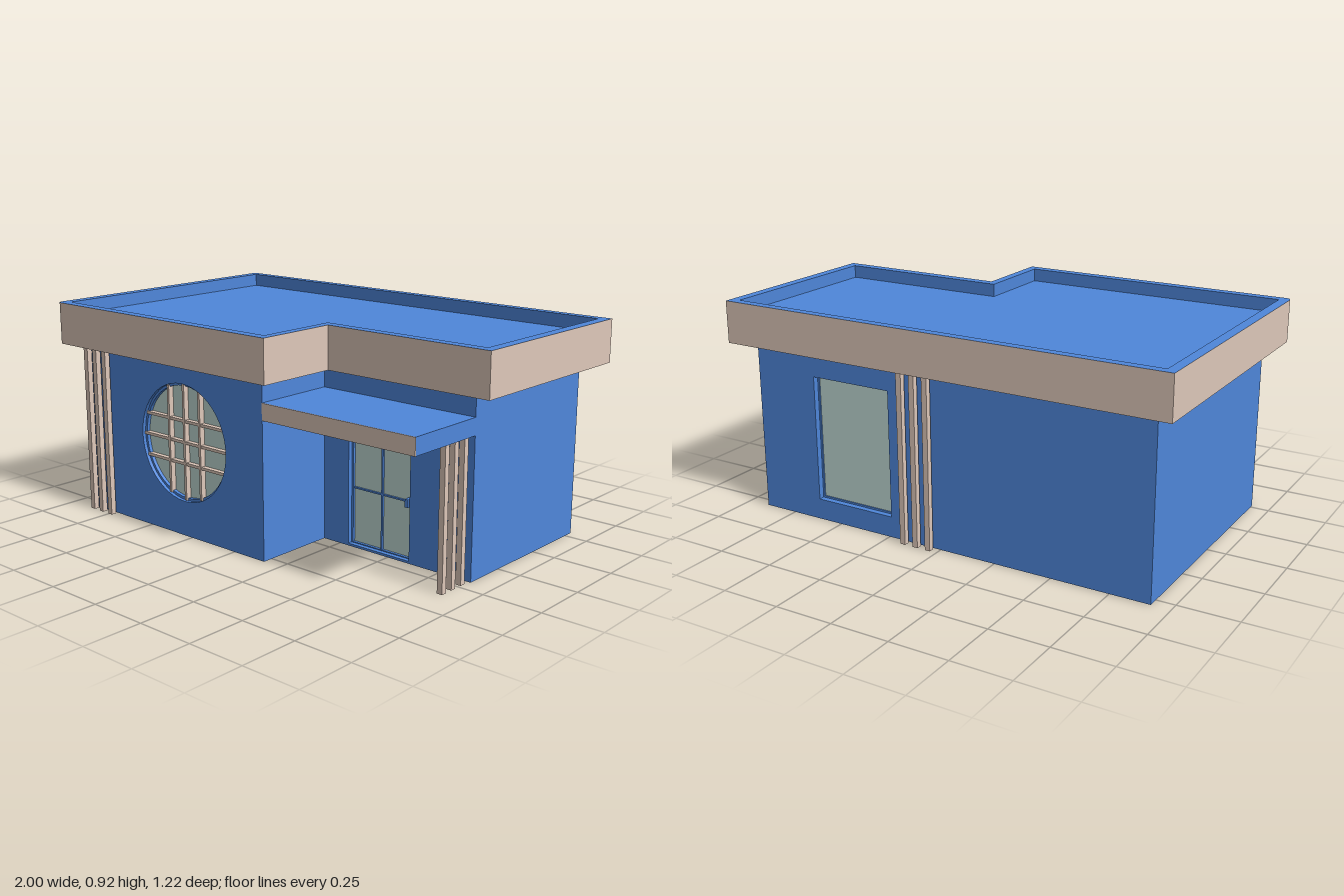
import * as THREE from 'three';

const mat = (color) => new THREE.MeshStandardMaterial({ color });

export function createModel() {
  const model = new THREE.Group();
  const blue = mat(0x4f87db), sand = mat(0xdec8ba), glass = mat(0xc0d9d4);

  const add = (name, geometry, material, parent = model) => {
    const mesh = new THREE.Mesh(geometry, material);
    mesh.name = name;
    parent.add(mesh);
    return mesh;
  };
  // Box given by its minimum and maximum corners
  const box = (name, a, b, material, parent) => {
    const g = new THREE.BoxGeometry(b[0] - a[0], b[1] - a[1], b[2] - a[2]);
    g.translate((a[0] + b[0]) / 2, (a[1] + b[1]) / 2, (a[2] + b[2]) / 2);
    return add(name, g, material, parent);
  };
  const group = (name) => {
    const g = new THREE.Group();
    g.name = name;
    model.add(g);
    return g;
  };
  const extrude = (shape, depth) =>
    new THREE.ExtrudeGeometry(shape, { depth, bevelEnabled: false, curveSegments: 24 });
  // Plan outline (x, z pairs) raised from y0 to y1
  const raise = (shape, y0, y1) => extrude(shape, y1 - y0).rotateX(-Math.PI / 2).translate(0, y0, 0);
  const rect = (x0, y0, x1, y1, Type = THREE.Shape) =>
    new Type([[x0, y0], [x1, y0], [x1, y1], [x0, y1]].map((p) => new THREE.Vector2(...p)));
  const disc = (x, y, r, Type = THREE.Shape) => new Type().absarc(x, y, r, 0, Math.PI * 2, false);
  const withHole = (shape, hole) => {
    shape.holes.push(hole);
    return shape;
  };
  // L-shaped plan; xs = left, notch, right; zs = front, notch, back; r rounds the front left corner
  const plan = (xs, zs, r = 0, Type = THREE.Shape) => {
    const s = new Type();
    s.moveTo(xs[0] + r, -zs[0]);
    s.lineTo(xs[1], -zs[0]);
    s.lineTo(xs[1], -zs[1]);
    s.lineTo(xs[2], -zs[1]);
    s.lineTo(xs[2], -zs[2]);
    s.lineTo(xs[0], -zs[2]);
    s.lineTo(xs[0], -zs[0] + r);
    if (r) s.quadraticCurveTo(xs[0], -zs[0], xs[0] + r, -zs[0]);
    return s;
  };

  // Body core and outer wall panels with openings
  const wallTop = 0.735, t = 0.035;
  add('bodyCore', raise(plan([-0.92, 0.165, 0.9], [0.51, 0.15, -0.51]), 0, wallTop), blue);
  add('frontWall', extrude(withHole(rect(-0.885, 0, 0.165, wallTop),
    disc(-0.29, 0.4, 0.25, THREE.Path)), t).translate(0, 0, 0.51), blue);
  add('entryWall', extrude(withHole(rect(0.165, 0, 0.9, wallTop),
    rect(0.295, 0.01, 0.605, 0.485, THREE.Path)), t).translate(0, 0, 0.15), blue);
  add('backWall', extrude(withHole(rect(-0.92, 0, 0.9, wallTop),
    rect(0.24, 0.09, 0.61, 0.63, THREE.Path)), t).translate(0, 0, -0.545), blue);
  const corner = new THREE.CylinderGeometry(t, t, wallTop, 8, 1, false, -Math.PI / 2, Math.PI / 2);
  add('roundedCorner', corner.translate(-0.885, wallTop / 2, 0.51), blue);

  // Roof: sand fascia, recessed blue deck and blue parapet lining
  const inX = [-0.96, 0.205, 0.96], inZ = [0.57, 0.21, -0.575];
  const deckY = 0.86, roofTop = 0.915;
  add('fascia', raise(withHole(plan([-1, 0.24, 1], [0.61, 0.25, -0.61], 0.03),
    plan(inX, inZ, 0, THREE.Path)), wallTop, roofTop), [blue, sand]);
  add('roofDeck', raise(plan(inX, inZ), wallTop, deckY), blue);
  const e = 0.002;
  add('parapetLining', raise(withHole(plan(inX, inZ),
    plan([inX[0] + e, inX[1] - e, inX[2] - e], [inZ[0] - e, inZ[1] - e, inZ[2] + e], 0, THREE.Path)),
  deckY, roofTop), blue);

  // Canopy over the entrance with a sand front edge
  box('canopy', [0.165, 0.575, 0.185], [0.9, 0.645, 0.543], blue);
  box('canopyEdge', [0.165, 0.575, 0.543], [0.9, 0.645, 0.547], sand);

  // Slender posts in threes
  const posts = (name, centres, height) => {
    const g = group(name), h = 0.012;
    for (const [x, z] of centres) box('post', [x - h, 0, z - h], [x + h, height, z + h], sand, g);
  };
  posts('frontPosts', [-0.86, -0.802, -0.742].map((x) => [x, 0.567]), wallTop);
  posts('backPosts', [0.042, 0.102, 0.162].map((x) => [x, -0.567]), wallTop);
  posts('canopyPosts', [0.224, 0.284, 0.342].map((z) => [0.878, z]), 0.575);

  // Round window with a three by three lattice
  const round = group('roundWindow');
  add('roundGlass', extrude(disc(-0.29, 0.4, 0.245), 0.005).translate(0, 0, 0.51), glass, round);
  add('roundFrame', extrude(withHole(disc(-0.29, 0.4, 0.25), disc(-0.29, 0.4, 0.239, THREE.Path)), 0.02)
    .translate(0, 0, 0.51), blue, round);
  for (const d of [-0.091, 0, 0.091]) {
    const half = Math.sqrt(0.247 ** 2 - d * d), w = 0.006;
    box('verticalBar', [-0.29 + d - w, 0.4 - half, 0.515], [-0.29 + d + w, 0.4 + half, 0.538], sand, round);
    box('horizontalBar', [-0.29 - half, 0.4 + d - w, 0.515], [-0.29 + half, 0.4 + d + w, 0.536], sand, round);
  }

  // Glazed double door
  const door = group('door');
  box('doorGlass', [0.3, 0.015, 0.15], [0.6, 0.48, 0.155], glass, door);
  add('doorFrame', extrude(withHole(rect(0.295, 0.01, 0.605, 0.485),
    rect(0.304, 0.014, 0.597, 0.476, THREE.Path)), 0.015).translate(0, 0, 0.15), blue, door);
  box('doorMiddleStile', [0.446, 0.014, 0.15], [0.454, 0.476, 0.163], blue, door);
  box('doorRail', [0.304, 0.242, 0.15], [0.597, 0.249, 0.162], blue, door);
  box('doorHandle', [0.581, 0.228, 0.155], [0.597, 0.262, 0.185], blue, door);

  // Back window
  const back = group('backWindow');
  box('backGlass', [0.245, 0.095, -0.515], [0.605, 0.625, -0.51], glass, back);
  add('backFrame', extrude(withHole(rect(0.24, 0.09, 0.61, 0.63),
    rect(0.248, 0.098, 0.602, 0.622, THREE.Path)), 0.01).translate(0, 0, -0.52), blue, back);

  return model;
}
